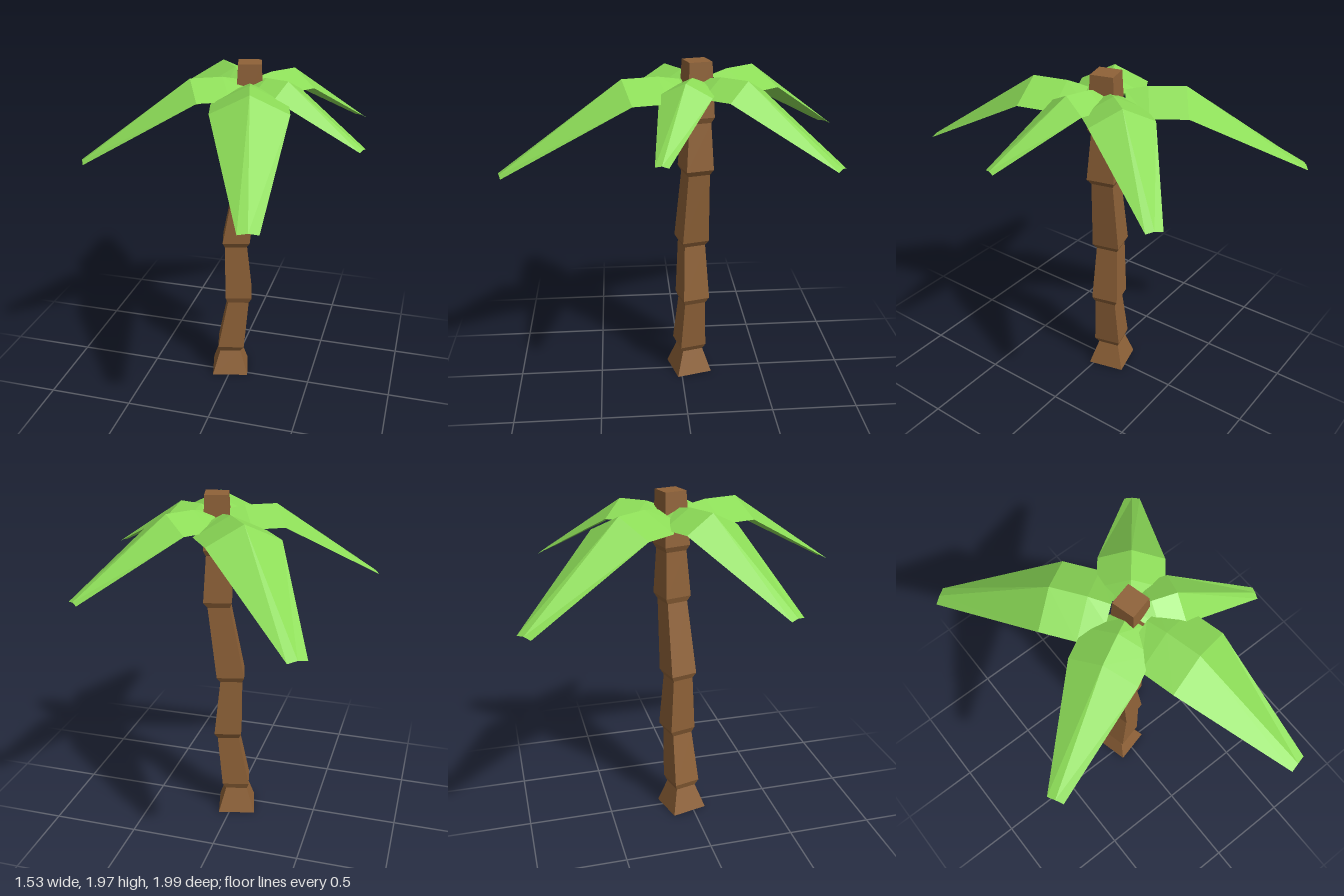
import * as THREE from 'three';

const bark = new THREE.MeshStandardMaterial({ color: 0x8f6238, flatShading: true });
const green = new THREE.MeshStandardMaterial({ color: 0x8cdc57, flatShading: true, side: THREE.DoubleSide });

// Flat-shaded skin through a list of cross-sections with equal point counts
function loft(sections, closed) {
  const n = sections[0].length;
  const index = [];
  for (let i = 0; i < sections.length - 1; i++) {
    for (let j = 0; j < (closed ? n : n - 1); j++) {
      const a = i * n + j, b = i * n + (j + 1) % n;
      index.push(a, b, b + n, a, b + n, a + n);
    }
  }
  if (closed) {
    const t = (sections.length - 1) * n;
    for (let j = 1; j < n - 1; j++) index.push(0, j + 1, j, t, t + j, t + j + 1);
  }
  const indexed = new THREE.BufferGeometry();
  indexed.setAttribute('position', new THREE.Float32BufferAttribute(sections.flat(2), 3));
  indexed.setIndex(index);
  const geometry = indexed.toNonIndexed();
  geometry.computeVertexNormals();
  return geometry;
}

// Square trunk ring, turned slightly about the vertical
function trunkRing([y, x, z, side]) {
  const r = side / Math.SQRT2;
  return [0, 1, 2, 3].map((k) => {
    const a = 0.25 + Math.PI / 4 + k * Math.PI / 2;
    return [x + r * Math.cos(a), y, z - r * Math.sin(a)];
  });
}

// Leaf runs along +z: narrow root, broad shoulders, drooping tapered tip
function leafGeometry({ mid, tip, size, tipY }) {
  const section = (z, width, ridgeY, sideY) => [
    [-width / 2, sideY, z], [0, ridgeY, z], [width / 2, sideY, z],
  ];
  const top = 1.9, edge = top - 0.1 * size;
  return loft([
    section(tip, 0.104 * size, tipY + 0.008, tipY),
    section(mid, 0.415 * size, top, edge),
    section(mid - 0.2 * size, 0.415 * size, top, edge),
    section(mid - 0.32 * size, 0.19 * size, top - 0.02, top - 0.06 * size),
  ], false);
}

export function createModel() {
  const model = new THREE.Group();
  model.name = 'palmTree';

  // Trunk: stacked segments, each flaring below a narrow joint [y, x, z, side]
  const rings = [
    [0, -0.017, -0.053, 0.218],
    [0.151, -0.017, -0.055, 0.127],
    [0.188, -0.012, -0.053, 0.16],
    [0.502, 0.032, -0.063, 0.127],
    [0.538, 0.033, -0.067, 0.16],
    [0.877, 0.013, -0.062, 0.127],
    [0.909, 0.017, -0.062, 0.16],
    [1.337, 0.08, -0.077, 0.127],
    [1.37, 0.087, -0.077, 0.16],
    [1.638, 0.084, -0.08, 0.127],
    [1.67, 0.084, -0.08, 0.156],
    [1.974, 0.087, -0.08, 0.129],
  ];
  const trunk = new THREE.Mesh(loft(rings.map(trunkRing), true), bark);
  trunk.name = 'trunk';
  model.add(trunk);

  // Crown: leaves of different sizes fanned around the trunk top
  const crown = new THREE.Group();
  crown.name = 'crown';
  crown.position.set(0.087, 0, -0.08);
  const leaves = [
    { name: 'frontLeaf', dx: 0.263, dz: 1.06, mid: 0.42, tip: 1.09, size: 1, tipY: 1.437 },
    { name: 'backRightLeaf', dx: -0.648, dz: -0.891, mid: 0.42, tip: 1.1, size: 1, tipY: 1.437 },
    { name: 'rightLeaf', dx: -0.833, dz: 0.442, mid: 0.335, tip: 0.943, size: 0.905, tipY: 1.467 },
    { name: 'leftLeaf', dx: 0.667, dz: 0.23, mid: 0.245, tip: 0.706, size: 0.685, tipY: 1.597 },
    { name: 'backLeftLeaf', dx: 0.553, dz: -0.68, mid: 0.32, tip: 0.876, size: 0.84, tipY: 1.52 },
  ];
  for (const spec of leaves) {
    const leaf = new THREE.Mesh(leafGeometry(spec), green);
    leaf.name = spec.name;
    leaf.rotation.y = Math.atan2(spec.dx, spec.dz);
    crown.add(leaf);
  }
  model.add(crown);
  return model;
}
